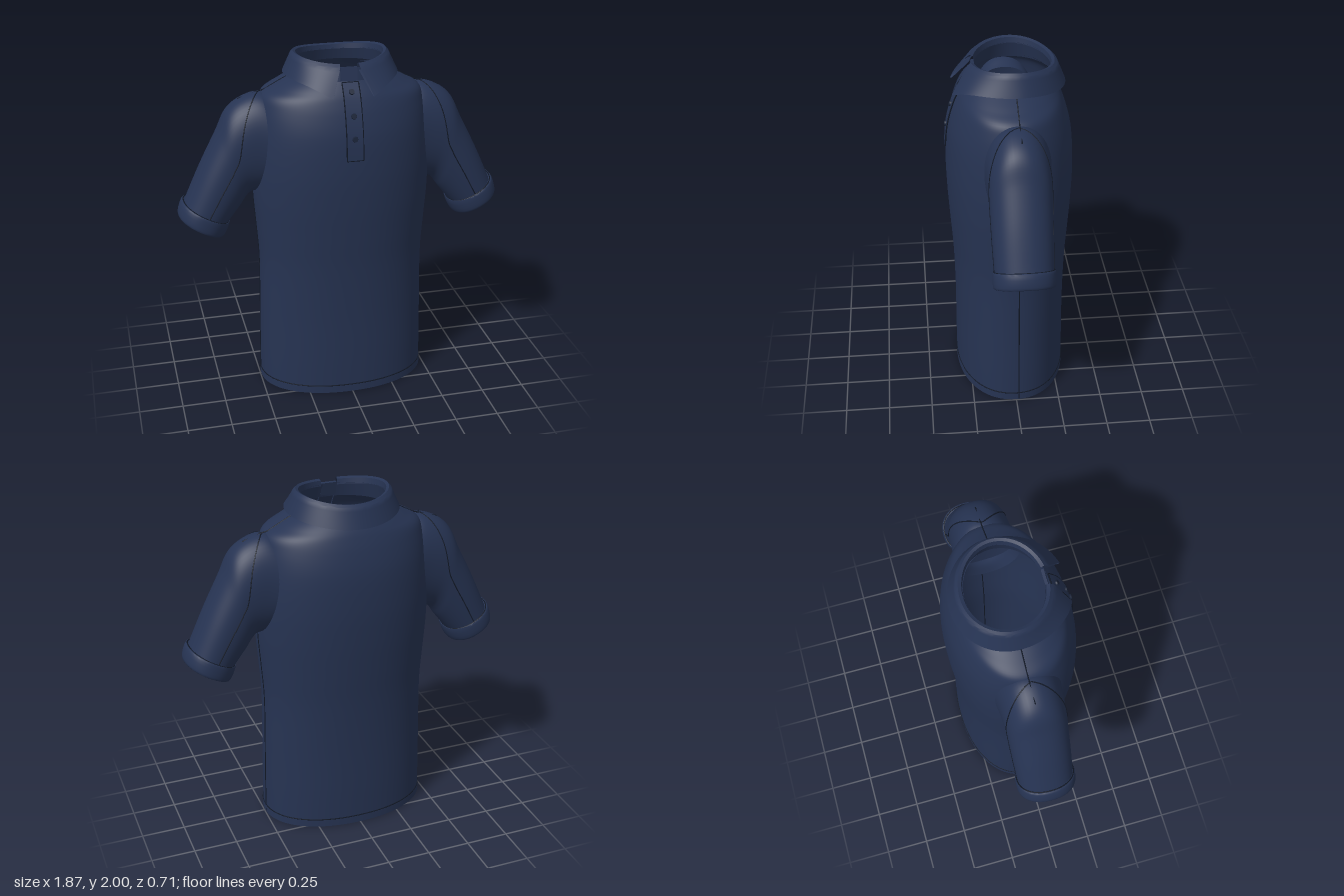
import * as THREE from 'three';
import { mergeVertices, toCreasedNormals } from 'three/addons/utils/BufferGeometryUtils.js';
import { ParametricGeometry } from 'three/addons/geometries/ParametricGeometry.js';

const TAU = Math.PI * 2;
const V = (x, y, z) => new THREE.Vector3(x, y, z);
const power = (c, n) => Math.sign(c) * Math.abs(c) ** (2 / n);

const fabric = new THREE.MeshStandardMaterial({ color: 0x263352, side: THREE.DoubleSide });
fabric.name = 'navy fabric';
const stitch = new THREE.MeshStandardMaterial({ color: 0x121927 });
stitch.name = 'dark stitching';
const buttonMat = new THREE.MeshStandardMaterial({ color: 0x1a2439 });
buttonMat.name = 'dark navy button';

// Torso profile: half width, height, half depth
const torso = new THREE.CatmullRomCurve3([
  [0.492, 0, 0.32], [0.49, 0.2, 0.32], [0.484, 0.5, 0.318], [0.48, 0.8, 0.325],
  [0.492, 1.0, 0.338], [0.505, 1.2, 0.35], [0.505, 1.4, 0.354], [0.49, 1.6, 0.34],
  [0.47, 1.72, 0.31], [0.445, 1.785, 0.285], [0.37, 1.83, 0.262], [0.262, 1.885, 0.222],
].map((p) => V(...p)));

// Torso half width and depth at a given height
function torsoAt(y) {
  let lo = 0, hi = 1;
  for (let i = 0; i < 24; i++) {
    const mid = (lo + hi) / 2;
    if (torso.getPoint(mid).y < y) lo = mid; else hi = mid;
  }
  return torso.getPoint(lo);
}

function torsoPoint(angle, p, grow = 0) {
  return V((p.x + grow) * power(Math.cos(angle), 2.15), p.y,
    (p.z + grow) * power(Math.sin(angle), 2.15) + 0.002);
}

// Smooth surface from a rule giving a point for u, v
function surface(name, rule, nu, nv, crease = 0) {
  let g = new ParametricGeometry((u, v, out) => out.copy(rule(u, v)), nu, nv);
  g.deleteAttribute('uv');
  g.deleteAttribute('normal');
  g = mergeVertices(g, 1e-5);
  g.computeVertexNormals();
  if (crease) g = toCreasedNormals(g, crease);
  const m = new THREE.Mesh(g, fabric);
  m.name = name;
  return m;
}

function seam(name, points, closed = false, r = 0.0035) {
  const curve = new THREE.CatmullRomCurve3(points, closed);
  const m = new THREE.Mesh(new THREE.TubeGeometry(curve, points.length * 4, r, 5, closed), stitch);
  m.name = name;
  return m;
}

const steps = (n, f) => Array.from({ length: n + 1 }, (_, i) => f(i / n));

// Tube of tilted rings; each ring: upper point x y, lower point x y, half depth
function ringTube(rings, side) {
  const top = new THREE.CatmullRomCurve3(rings.map((r) => V(r[0], r[1], r[4])));
  const low = new THREE.CatmullRomCurve3(rings.map((r) => V(r[2], r[3], 0)));
  return (a, s) => {
    const t = top.getPoint(s), b = low.getPoint(s), c = power(Math.cos(a), 2.2);
    return V(side * ((t.x + b.x) / 2 + (t.x - b.x) / 2 * c),
      (t.y + b.y) / 2 + (t.y - b.y) / 2 * c, t.z * power(Math.sin(a), 2.2) - 0.007);
  };
}

function makeSleeve(side) {
  const g = new THREE.Group();
  g.name = side > 0 ? 'leftSleeve' : 'rightSleeve';
  const sleeve = ringTube([
    [0.36, 1.76, 0.40, 1.27, 0.19], [0.46, 1.79, 0.47, 1.23, 0.175],
    [0.57, 1.757, 0.53, 1.215, 0.168], [0.64, 1.70, 0.555, 1.19, 0.165],
    [0.70, 1.58, 0.585, 1.145, 0.163], [0.80, 1.385, 0.62, 1.10, 0.16],
    [0.895, 1.18, 0.66, 1.05, 0.155],
  ], side);
  g.add(surface('sleeve', (u, v) => sleeve(u * TAU, v), 56, 36));
  // Folded cuff with a short inner return
  const cuff = ringTube([
    [0.893, 1.183, 0.662, 1.053, 0.154], [0.909, 1.188, 0.65, 1.052, 0.163],
    [0.936, 1.108, 0.685, 0.974, 0.163], [0.926, 1.101, 0.697, 0.979, 0.153],
    [0.89, 1.165, 0.67, 1.055, 0.15],
  ], side);
  g.add(surface('cuff', (u, v) => cuff(u * TAU, v), 56, 20, 0.7));
  g.add(seam('cuffSeam', steps(40, (k) => cuff(k * TAU, 0.12)).slice(0, -1), true));
  // Seams run over the shoulder and down both faces of the sleeve
  for (const face of [1, -1]) {
    g.add(seam('sleeveSeam', steps(24, (k) => sleeve(face * Math.PI / 2 * Math.sin(Math.min(1, k / 0.45) * Math.PI / 2),
      0.17 + 0.82 * k))));
  }
  return g;
}

// Collar rows: half width, front depth, back depth, side y, front y, back y, front gap angle, dip sharpness
const collarRows = [
  [0.238, 0.207, 0.207, 1.96, 1.94, 1.94, 0.2, 2],
  [0.243, 0.212, 0.212, 1.993, 1.971, 1.965, 0.2, 2],
  [0.258, 0.230, 0.230, 2.0, 1.978, 1.97, 0.2, 2],
  [0.273, 0.250, 0.247, 1.985, 1.962, 1.955, 0.2, 2],
  [0.318, 0.355, 0.290, 1.885, 1.79, 1.85, 0.36, 6],
  [0.309, 0.345, 0.281, 1.885, 1.79, 1.85, 0.36, 6],
  [0.260, 0.232, 0.232, 1.96, 1.94, 1.94, 0.2, 2],
];
function collarPoint(u, v) {
  const f = v * (collarRows.length - 1), i = Math.min(Math.floor(f), collarRows.length - 2);
  const at = (row) => {
    const [rx, front, back, ySide, yFront, yBack, gap, sharp] = row;
    const a = gap + u * (TAU - 2 * gap), c = Math.cos(a);
    const y = c > 0 ? ySide + (yFront - ySide) * c ** sharp : ySide + (yBack - ySide) * c * c;
    return V(rx * Math.sin(a), y, -0.017 + (c > 0 ? front : back) * c);
  };
  return at(collarRows[i]).lerp(at(collarRows[i + 1]), f - i);
}

export function createModel() {
  const model = new THREE.Group();
  model.name = 'poloShirt';

  // Torso and hem band
  model.add(surface('torso', (u, v) => torsoPoint(u * TAU, torso.getPoint(v)), 96, 66));
  model.add(surface('hem', (u, v) => torsoPoint(u * TAU, torsoAt(v * 0.045), 0.003), 96, 2));
  model.add(seam('hemSeam', steps(64, (k) => torsoPoint(k * TAU, torsoAt(0.047), 0.001)).slice(0, -1), true));

  for (const side of [1, -1]) {
    model.add(makeSleeve(side));
    const onSide = (p) => V(side * p.x, p.y, -0.015);
    model.add(seam('sideSeam', steps(16, (k) => onSide(torsoAt(0.003 + k * 1.21)))));
    model.add(seam('shoulderSeam', [...[1.875, 1.85, 1.82, 1.8].map((y) => onSide(torsoAt(y))),
      V(side * 0.47, 1.789, -0.015), V(side * 0.575, 1.756, -0.015)]));
  }

  // Collar: upright stand and folded leaf
  model.add(surface('collarStand', (u, v) => {
    const a = u * TAU, c = Math.cos(a);
    const top = c > 0 ? 1.965 - 0.015 * c : 1.965 - 0.02 * c * c;
    return V((0.262 - 0.024 * v) * Math.sin(a), 1.87 + (top - 1.87) * v, -0.017 + (0.228 - 0.02 * v) * c);
  }, 64, 4));
  model.add(surface('collarLeaf', collarPoint, 96, 36, 0.9));

  // Front tab closing the stand
  const tab = new THREE.Mesh(new THREE.BoxGeometry(0.09, 0.075, 0.016), fabric);
  tab.name = 'standTab';
  tab.position.set(0, 1.92, 0.203);
  tab.rotation.x = -0.2;
  model.add(tab);

  // Placket strip following the chest
  const chest = (x, y, off) => V(x, y, torsoAt(y).z + 0.002 + off);
  const section = [[-0.045, -0.012], [-0.045, 0.007], [0.045, 0.007], [0.045, -0.012]];
  model.add(surface('placket', (u, v) => {
    const [x, off] = section[Math.round(u * 3)];
    return chest(x, 1.48 + Math.max(0, v - 1 / 24) * 0.405 * 24 / 23, v < 0.01 ? -0.012 : off);
  }, 3, 24, 0.6));
  for (const x of [-0.045, 0.045]) {
    model.add(seam('placketSeam', steps(12, (k) => chest(x, 1.48 + 0.4 * k, 0.004)), false, 0.004));
  }
  model.add(seam('placketEnd', steps(3, (k) => chest(-0.045 + 0.09 * k, 1.48, 0.004)), false, 0.004));
  model.add(seam('placketTop', steps(3, (k) => chest(-0.045 + 0.09 * k, 1.882, 0.004)), false, 0.004));

  // Buttons
  for (const y of [1.84, 1.72, 1.6]) {
    const slope = (torsoAt(y + 0.02).z - torsoAt(y - 0.02).z) / 0.04;
    const b = new THREE.Mesh(new THREE.CylinderGeometry(0.014, 0.017, 0.012, 20), buttonMat);
    b.name = 'button';
    b.position.copy(chest(0, y, 0.01));
    b.rotation.x = Math.PI / 2 + Math.atan(slope);
    model.add(b);
  }
  return model;
}
